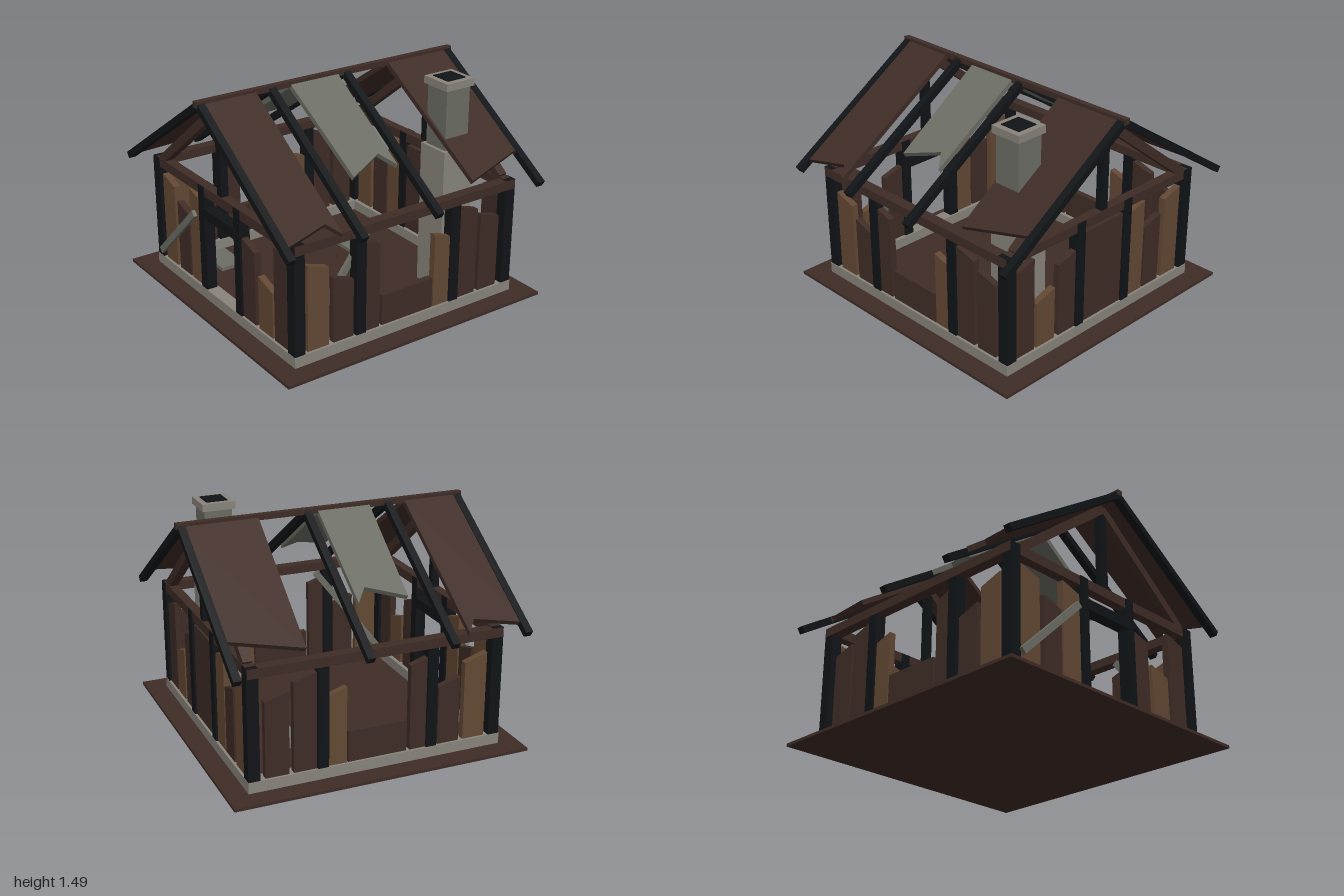
import * as THREE from 'three';

const mat = (color) => new THREE.MeshStandardMaterial({ color, flatShading: true });
const BROWN = mat(0x3f2c26), TAN = mat(0x634833), BLACK = mat(0x111417);
const GREY = mat(0x6b6d64), STONE = mat(0x88847c);

function add(parent, name, geometry, material) {
  const mesh = new THREE.Mesh(geometry, material);
  mesh.name = name;
  parent.add(mesh);
  return mesh;
}

// Box given by its min and max on each axis
function box(parent, name, material, [x0, x1], [y0, y1], [z0, z1]) {
  const mesh = add(parent, name, new THREE.BoxGeometry(x1 - x0, y1 - y0, z1 - z0), material);
  mesh.position.set((x0 + x1) / 2, (y0 + y1) / 2, (z0 + z1) / 2);
  return mesh;
}

// Straight timber between two points
function timber(parent, name, material, a, b, sx, sz) {
  const p = new THREE.Vector3(...a), q = new THREE.Vector3(...b);
  const dir = q.clone().sub(p);
  const mesh = add(parent, name, new THREE.BoxGeometry(sx, dir.length(), sz), material);
  mesh.position.copy(p).add(q).multiplyScalar(0.5);
  mesh.quaternion.setFromUnitVectors(new THREE.Vector3(0, 1, 0), dir.normalize());
  return mesh;
}

const polygon = (pts) => new THREE.Shape(pts.map(([x, y]) => new THREE.Vector2(x, y)));
const extrude = (shape, depth) => new THREE.ExtrudeGeometry(shape, { depth, bevelEnabled: false });

// Upright boards with slanted tops: [start, end, top at start, top at end, material]
function boards(parent, list) {
  for (const [a, b, ha, hb, material] of list) {
    const shape = polygon([[a, 0.09], [b, 0.09], [b, hb], [a, ha]]);
    add(parent, 'wallBoard', extrude(shape, 0.045), material).position.z = 0.8;
  }
}

const GABLE_BOARDS = [
  [-0.76, -0.605, 0.72, 0.675, TAN], [-0.57, -0.417, 0.585, 0.54, BROWN],
  [-0.4, -0.25, 0.745, 0.7, TAN], [0.25, 0.4, 0.64, 0.595, BROWN],
  [0.435, 0.594, 0.455, 0.405, TAN], [0.615, 0.77, 0.73, 0.685, BROWN],
];
const SIDE_BOARDS = [
  [-0.757, -0.602, 0.67, 0.62, TAN], [-0.57, -0.42, 0.535, 0.485, BROWN],
  [-0.375, -0.222, 0.715, 0.665, BROWN], [-0.2, 0.2, 0.3, 0.3, BROWN],
  [0.21, 0.365, 0.6, 0.55, TAN], [0.41, 0.56, 0.735, 0.69, BROWN],
  [0.59, 0.745, 0.64, 0.595, BROWN],
];

// Broken roof sheets: outlines as [z, horizontal reach from the ridge]
const SHEETS = [
  [GREY, [[-0.05, 0], [0.315, 0], [0.285, 0.645], [0.03, 0.55], [-0.05, 0.645]]],
  [BROWN, [[0.57, 0], [0.984, 0], [0.97, 0.92], [0.64, 0.85], [0.57, 0.93]]],
  [BROWN, [[-0.984, 0], [-0.455, 0], [-0.485, 0.86], [-0.93, 0.755], [-0.984, 0.85]]],
];

export function createModel() {
  const model = new THREE.Group();
  model.name = 'ruinedHouse';

  // Ground and foundation ring
  box(model, 'ground', BROWN, [-1, 1], [0, 0.02], [-1, 1]);
  const square = (r) => [[-r, -r], [r, -r], [r, r], [-r, r]];
  const ring = polygon(square(0.862));
  ring.holes.push(polygon(square(0.773)));
  const foundation = add(model, 'foundation', extrude(ring, 0.075), STONE);
  foundation.rotation.x = -Math.PI / 2;
  foundation.position.y = 0.017;

  // Loose slabs on the floor
  box(model, 'floorSlab', GREY, [-0.4, -0.135], [0.015, 0.045], [-0.48, -0.31]);
  box(model, 'floorSlab', GREY, [-0.735, -0.47], [0.015, 0.045], [0.405, 0.58]);

  // Front and back walls with their gable trusses
  for (const s of [1, -1]) {
    const wall = new THREE.Group();
    wall.name = s > 0 ? 'frontWall' : 'backWall';
    wall.scale.z = s;
    model.add(wall);
    boards(wall, GABLE_BOARDS);
    for (const x of [-0.82, 0.82]) {
      box(wall, 'cornerPost', BLACK, [x - 0.038, x + 0.038], [0.09, 0.828], [0.784, 0.86]);
    }
    for (const x of [-0.217, 0.217]) {
      box(wall, 'doorPost', BLACK, [x - 0.035, x + 0.035], [0.09, 0.829], [0.785, 0.86]);
    }
    box(wall, 'tieBeam', BROWN, [-0.82, 0.82], [0.765, 0.83], [0.788, 0.853]);
    box(wall, 'kingPost', BLACK, [-0.026, 0.026], [0.82, 1.42], [0.795, 0.847]);
    for (const x of [-1, 1]) {
      timber(wall, 'gableStrut', BROWN, [x * 0.765, 0.82, 0.82], [0, 1.412, 0.82], 0.06, 0.06);
    }
  }
  box(model, 'doorLintel', BLACK, [-0.2, 0.2], [0.615, 0.685], [0.785, 0.868]);
  box(model, 'backPanel', BROWN, [-0.2, 0.2], [0.09, 0.735], [-0.845, -0.8]);
  timber(model, 'frontBrace', GREY, [-0.78, 0.145, 0.872], [-0.29, 0.61, 0.872], 0.045, 0.025);
  timber(model, 'sideBrace', GREY, [0.785, 0.1, 0.775], [0.785, 0.755, 0.27], 0.025, 0.045);

  // Side walls and roof slopes, mirrored
  const PITCH = Math.atan2(0.648, 0.988);
  const cos = Math.cos(PITCH), sin = Math.sin(PITCH);
  for (const s of [1, -1]) {
    const half = new THREE.Group();
    half.name = s > 0 ? 'leftHalf' : 'rightHalf';
    half.scale.x = s;
    model.add(half);

    const wall = new THREE.Group();
    wall.name = 'sideWall';
    wall.rotation.y = Math.PI / 2;
    half.add(wall);
    boards(wall, SIDE_BOARDS);
    for (const u of [-0.37, 0.37]) {
      box(wall, 'sidePost', BLACK, [u - 0.036, u + 0.036], [0.09, 0.77], [0.785, 0.858]);
    }
    box(wall, 'wallPlate', BROWN, [-0.855, 0.855], [0.765, 0.827], [0.787, 0.862]);

    for (const z of [0.96, 0.45, -0.12, -0.96]) {
      timber(half, 'rafter', BLACK, [0, 1.46, z], [0.988, 0.812, z], 0.045, 0.05);
    }

    // Sheets lie in the plane of the rafters
    const slope = new THREE.Matrix4().makeBasis(
      new THREE.Vector3(0, 0, 1),
      new THREE.Vector3(cos, -sin, 0),
      new THREE.Vector3(sin, cos, 0),
    ).setPosition(0, 1.46, 0);
    for (const [material, outline] of SHEETS) {
      const shape = polygon(outline.map(([z, reach]) => [z, reach / cos]));
      const geometry = extrude(shape, 0.034).translate(0, 0, -0.017).applyMatrix4(slope);
      add(half, 'roofSheet', geometry, material);
    }
  }
  box(model, 'ridgeBeam', BROWN, [-0.02, 0.02], [1.45, 1.488], [-0.995, 0.995]);

  // Chimney
  const chimney = new THREE.Group();
  chimney.name = 'chimney';
  chimney.position.set(0.49, 0, -0.583);
  model.add(chimney);
  const stack = (name, material, r, y) => box(chimney, name, material, [-r, r], y, [-r, r]);
  stack('chimneyBase', STONE, 0.118, [0.02, 1.016]);
  stack('chimneyShaft', GREY, 0.094, [1.0, 1.43]);
  stack('chimneyCap', STONE, 0.113, [1.425, 1.475]);
  stack('flueOpening', BLACK, 0.073, [1.44, 1.481]);

  return model;
}
